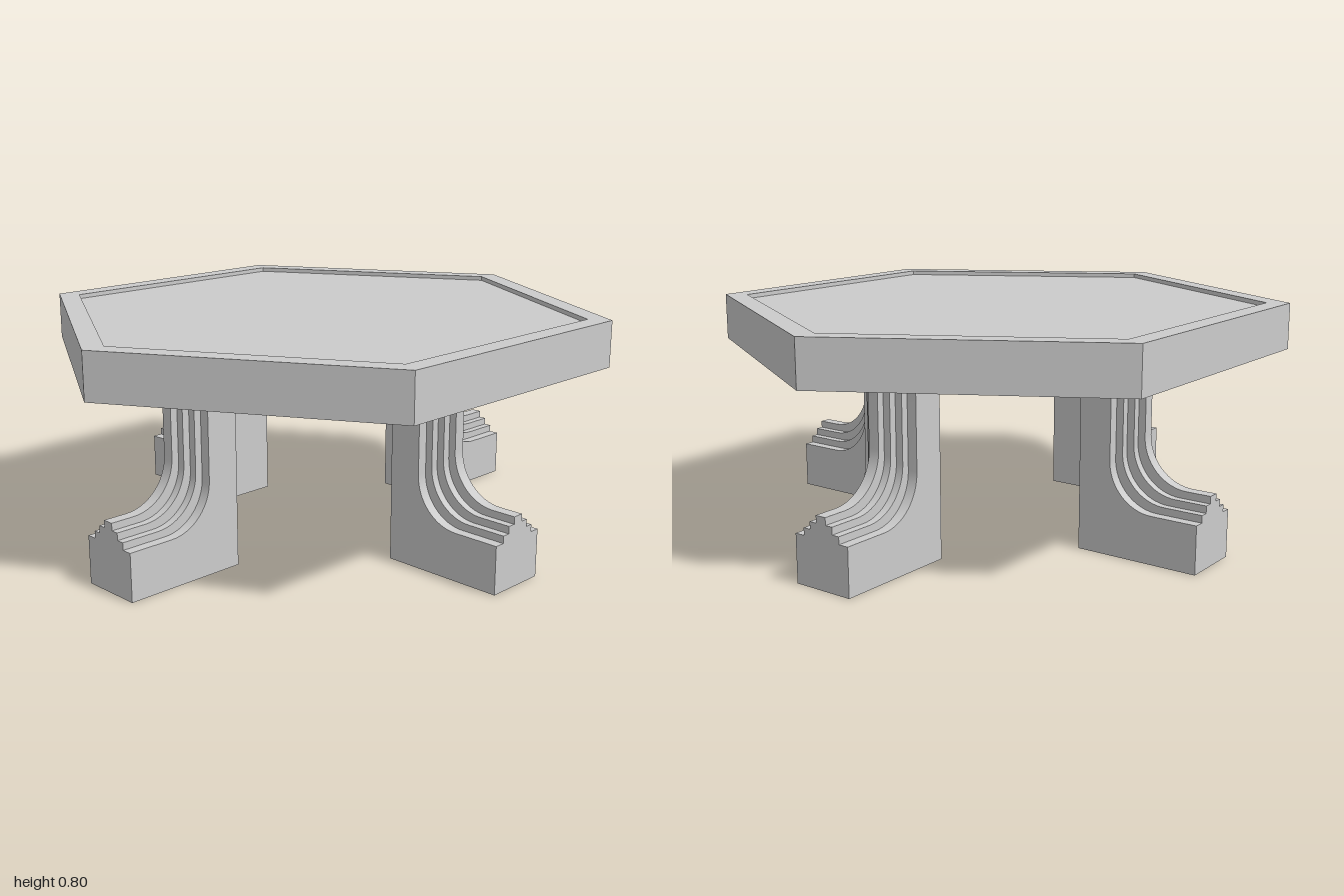
import * as THREE from 'three';
import { toCreasedNormals } from 'three/addons/utils/BufferGeometryUtils.js';

const TOP_Y = 0.64;

// Side outline of one leg strip; each step sinks the hollow inward and down
function legOutline(step) {
  const inner = 0.49, foot = 0.93, r = 0.16;
  const column = 0.685 - step * 0.026;
  const ledge = 0.24 - step * 0.025;
  const s = new THREE.Shape();
  s.moveTo(inner, 0);
  s.lineTo(foot, 0);
  s.lineTo(foot, ledge);
  s.lineTo(column + r, ledge);
  s.absarc(column + r, ledge + r, r, -Math.PI / 2, -Math.PI, true);
  s.lineTo(column, TOP_Y);
  s.lineTo(inner, TOP_Y);
  s.closePath();
  return s;
}

// Leg pointing along +x, made of seven strips side by side
function createLeg(material) {
  const leg = new THREE.Group();
  const edges = [-0.11, -0.074, -0.047, -0.02, 0.02, 0.047, 0.074, 0.11];
  for (let i = 0; i < 7; i++) {
    const geometry = new THREE.ExtrudeGeometry(legOutline(Math.abs(i - 3)), {
      depth: edges[i + 1] - edges[i], bevelEnabled: false, curveSegments: 8,
    });
    geometry.translate(0, 0, edges[i]);
    const strip = new THREE.Mesh(toCreasedNormals(geometry, Math.PI / 6), material);
    strip.name = 'legStrip';
    leg.add(strip);
  }
  return leg;
}

export function createModel() {
  const model = new THREE.Group();
  model.name = 'hexagonalTable';
  const material = new THREE.MeshStandardMaterial({ color: 0xcccccc });
  const flat = new THREE.MeshStandardMaterial({ color: 0xcccccc, flatShading: true });

  // Six-sided top with a raised rim around a shallow recess
  const profile = [[0, TOP_Y], [1, TOP_Y], [1, 0.8], [0.92, 0.8], [0.92, 0.785], [0, 0.785]]
    .map(([x, y]) => new THREE.Vector2(x, y));
  const top = new THREE.Mesh(new THREE.LatheGeometry(profile, 6), flat);
  top.name = 'tableTop';
  model.add(top);

  // Four legs; the side pair stands slightly closer in
  const names = ['leftLeg', 'backLeg', 'rightLeg', 'frontLeg'];
  names.forEach((name, i) => {
    const leg = createLeg(material);
    const angle = i * Math.PI / 2;
    leg.name = name;
    leg.rotation.y = angle;
    if (i % 2 === 0) leg.position.set(-0.066 * Math.cos(angle), 0, -0.02);
    else leg.position.x = -0.01;
    model.add(leg);
  });
  return model;
}
